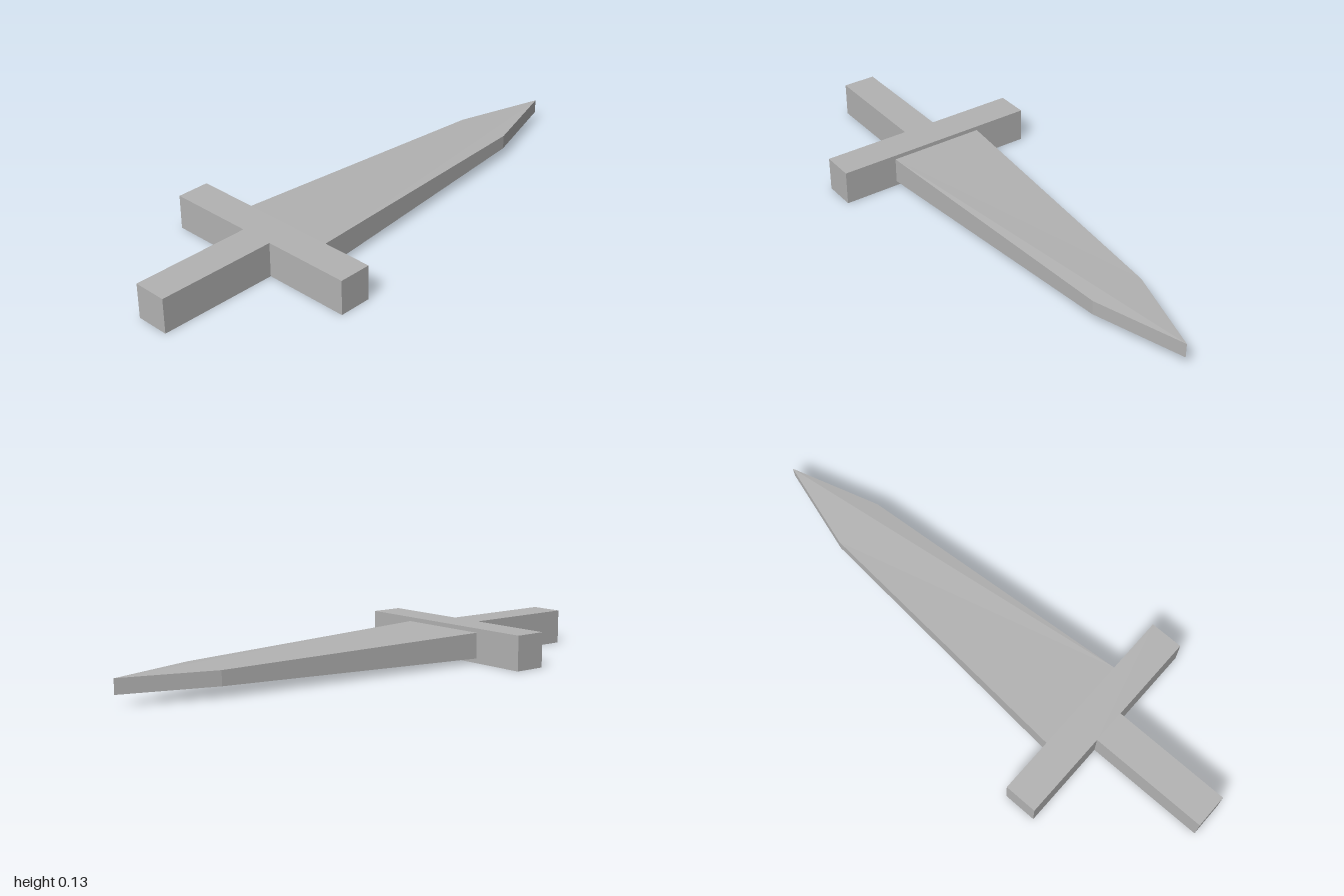
import * as THREE from 'three';

const steelGrey = new THREE.MeshStandardMaterial({ color: 0xb2b2b2 });
steelGrey.name = 'steelGrey';

// Handle and crossguard: one T-shaped slab lying flat
function makeHilt() {
  const end = -1, back = -0.545, front = -0.42, grip = 0.064, guard = 0.398;
  const shape = new THREE.Shape([
    [end, -grip], [back, -grip], [back, -guard], [front, -guard],
    [front, guard], [back, guard], [back, grip], [end, grip],
  ].map(([x, y]) => new THREE.Vector2(x, y)));
  const geo = new THREE.ExtrudeGeometry(shape, { depth: 0.131, bevelEnabled: false });
  geo.rotateX(-Math.PI / 2);
  return geo;
}

// Blade: five-sided outline that thins from the guard to the shoulders and tip
function makeBlade() {
  // x, z, half thickness, running from the front base corner round the tip
  const outline = [
    [-0.42, 0.185, 0.0485], [0.66, 0.103, 0.027], [1, 0, 0.027],
    [0.66, -0.103, 0.027], [-0.42, -0.185, 0.0485],
  ];
  const n = outline.length, midY = 0.0665;
  const positions = [];
  for (const side of [1, -1]) {
    for (const [x, z, h] of outline) positions.push(x, midY + side * h, z);
  }
  const index = [];
  // Top fans from the front base corner, bottom from the back base corner
  for (let i = 1; i < n - 1; i++) {
    index.push(0, i, i + 1);
    index.push(2 * n - 1, 2 * n - 1 - i, 2 * n - 2 - i);
  }
  // Flat edges round the outline
  for (let i = 0; i < n; i++) {
    const j = (i + 1) % n;
    index.push(n + i, n + j, j, n + i, j, i);
  }
  const geo = new THREE.BufferGeometry();
  geo.setAttribute('position', new THREE.Float32BufferAttribute(positions, 3));
  geo.setIndex(index);
  const flat = geo.toNonIndexed();
  flat.computeVertexNormals();
  return flat;
}

export function createModel() {
  const model = new THREE.Group();
  model.name = 'dagger';
  for (const [name, geo] of [['handleAndGuard', makeHilt()], ['blade', makeBlade()]]) {
    const mesh = new THREE.Mesh(geo, steelGrey);
    mesh.name = name;
    model.add(mesh);
  }
  return model;
}
